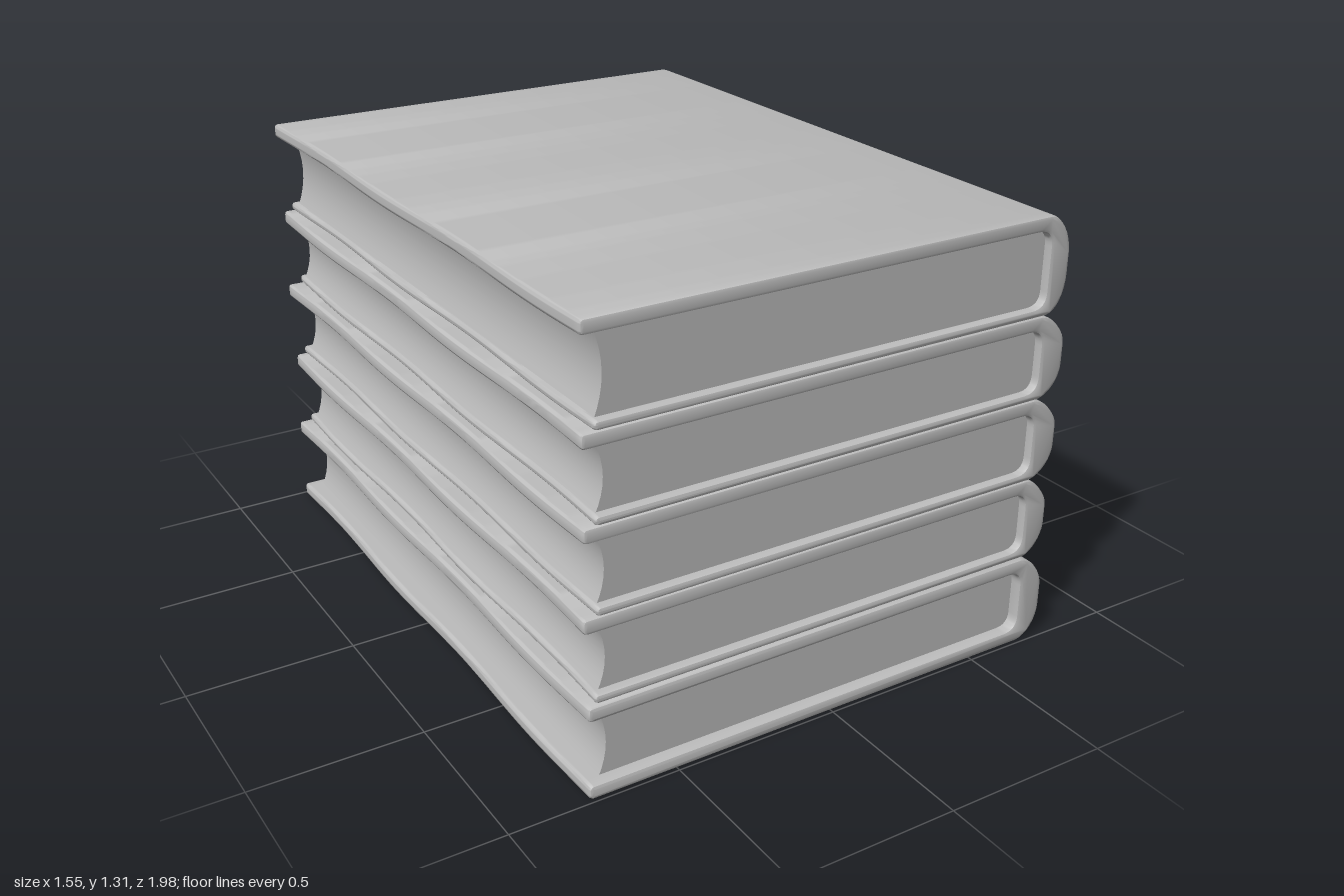
import * as THREE from 'three';
import { toCreasedNormals } from 'three/addons/utils/BufferGeometryUtils.js';

const stone = new THREE.MeshStandardMaterial({ color: 0xbcbcbc });
stone.name = 'plain grey';

// Each book: bottom and top height, spine reach, bottom cover thickness and edge
const books = [
  { y0: 0.01, y1: 0.285, spine: 0.755, t: 0.04, edge: -0.765, bands: [0.53, 0, -0.58] },
  { y0: 0.285, y1: 0.535, spine: 0.76, t: 0.025, edge: -0.735, bands: [0.54, 0, -0.53] },
  { y0: 0.535, y1: 0.785, spine: 0.76, t: 0.025, edge: -0.73, bands: [0.53, 0.01, -0.54] },
  { y0: 0.785, y1: 1.035, spine: 0.755, t: 0.025, edge: -0.73, bands: [0.51, 0, -0.49] },
  { y0: 1.035, y1: 1.322, spine: 0.75, t: 0.025, edge: -0.73, bands: [0.53, -0.03, -0.56] },
];

// Extrude a profile along z, centred, with softened ends
function extrudeAlongZ(shape, halfDepth, bevel, steps) {
  const g = new THREE.ExtrudeGeometry(shape, {
    depth: 2 * (halfDepth - bevel), steps, curveSegments: 8, bevelEnabled: bevel > 0,
    bevelThickness: bevel, bevelSize: bevel, bevelOffset: -bevel, bevelSegments: 2,
  });
  return g.translate(0, 0, bevel - halfDepth);
}

// C-shaped binding: two boards joined by a rounded spine
function coverShape({ y0, y1, spine, t, edge }) {
  const T = 0.042, left = -0.765, mid = (y0 + y1) / 2, r = 0.012;
  const s = new THREE.Shape();
  s.moveTo(edge + r, y0);
  s.lineTo(0.68, y0);
  s.bezierCurveTo(0.72, y0 + 0.005, spine, y0 + 0.05, spine, mid - 0.03);
  s.lineTo(spine, mid + 0.03);
  s.bezierCurveTo(spine, y1 - 0.06, 0.71, y1 - 0.005, 0.67, y1);
  s.lineTo(left + r, y1);
  s.quadraticCurveTo(left, y1, left, y1 - r);
  s.lineTo(left, y1 - T + r);
  s.quadraticCurveTo(left, y1 - T, left + r, y1 - T);
  s.lineTo(0.63, y1 - T);
  s.quadraticCurveTo(0.675, y1 - T, 0.675, y1 - T - 0.045);
  s.lineTo(0.675, y0 + t + 0.045);
  s.quadraticCurveTo(0.675, y0 + t, 0.63, y0 + t);
  s.lineTo(edge + r, y0 + t);
  s.quadraticCurveTo(edge, y0 + t, edge, y0 + t - r);
  s.lineTo(edge, y0 + r);
  s.quadraticCurveTo(edge, y0, edge + r, y0);
  return s;
}

// Page block with a hollow fore edge
function pageShape({ y0, y1, t }) {
  const b = y0 + t - 0.01, a = y1 - 0.035, mid = (a + b) / 2;
  const s = new THREE.Shape();
  s.moveTo(-0.72, b);
  s.lineTo(0.69, b);
  s.lineTo(0.69, a);
  s.lineTo(-0.72, a);
  s.quadraticCurveTo(-0.67, mid, -0.72, b);
  return s;
}

// Raise the spine bands and give the edges a slight hand-worn waviness
function wearCover(g, book, seed) {
  const p = g.attributes.position;
  for (let i = 0; i < p.count; i++) {
    let x = p.getX(i);
    const z = p.getZ(i);
    if (x > 0.69) {
      const k = Math.min(1, (x - 0.69) / 0.05);
      for (const b of book.bands) x += 0.016 * k * Math.exp(-(((z - b) / 0.035) ** 2));
      x += 0.005 * k * Math.sin(z * 9 + seed * 2);
    } else if (x < -0.7) {
      x += 0.005 * Math.sin(z * 7 + seed * 3);
    }
    p.setX(i, x);
  }
  return toCreasedNormals(g, 0.75);
}

export function createModel() {
  const stack = new THREE.Group();
  stack.name = 'bookStack';
  books.forEach((book, i) => {
    const group = new THREE.Group();
    group.name = `book${i + 1}`;

    const half = i === 0 ? 0.992 : 0.982;
    const cover = new THREE.Mesh(
      wearCover(extrudeAlongZ(coverShape(book), half, 0.01, 90), book, i), stone);
    cover.name = 'cover';

    const pages = new THREE.Mesh(
      toCreasedNormals(extrudeAlongZ(pageShape(book), 0.955, 0, 1), 0.6), stone);
    pages.name = 'pages';

    group.add(cover, pages);
    stack.add(group);
  });
  stack.position.y = -0.01;
  return stack;
}
